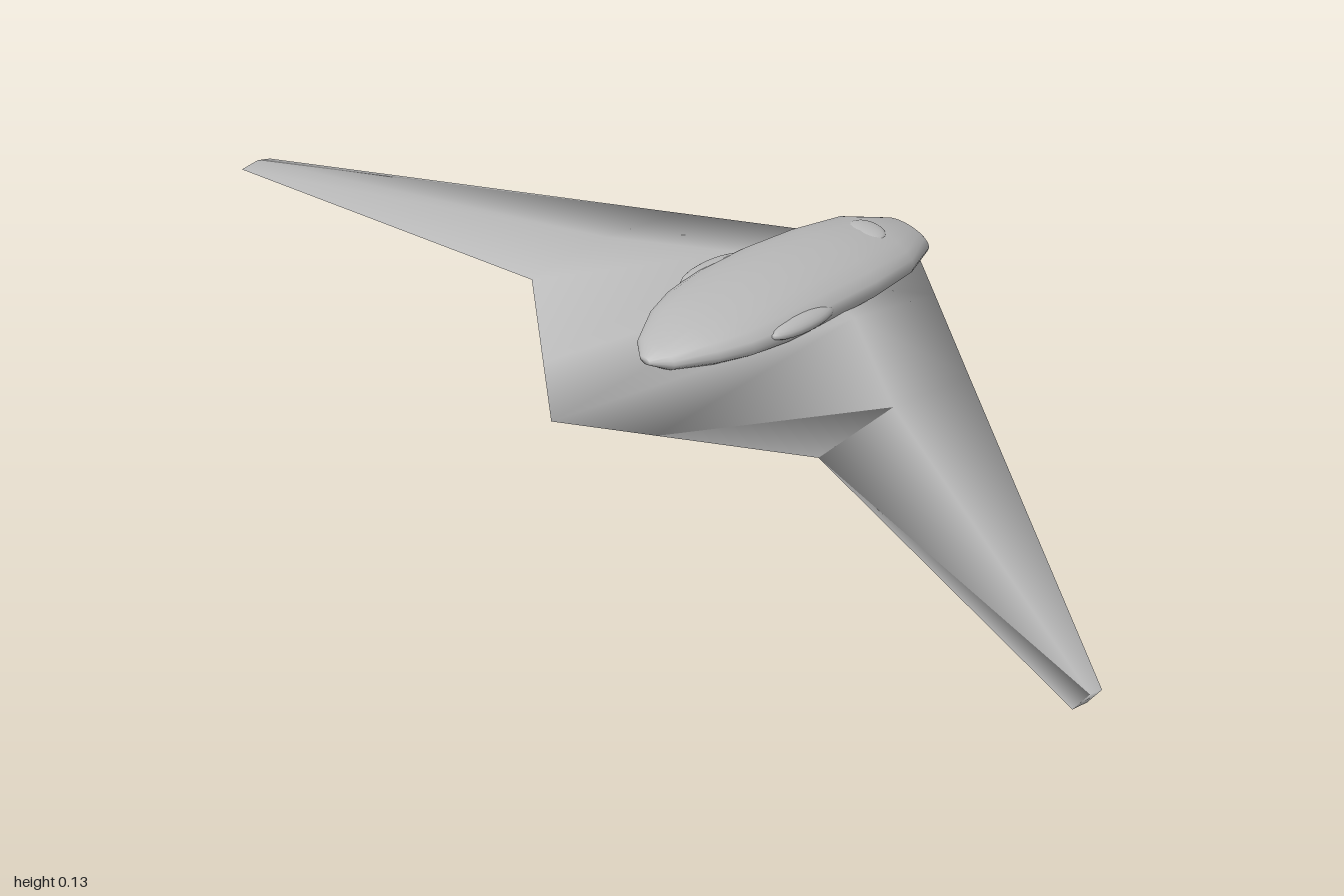
import * as THREE from 'three';

// Skin a run of closed rings (counter-clockwise about the direction of travel), capping both ends
function loft(rings) {
  const n = rings[0].length, last = (rings.length - 1) * n, index = [];
  for (let i = 0; i < rings.length - 1; i++) {
    for (let j = 0; j < n; j++) {
      const a = i * n + j, b = i * n + (j + 1) % n;
      index.push(a, b, a + n, b, b + n, a + n);
    }
  }
  for (let k = 1; k < n - 1; k++) index.push(0, k + 1, k, last, last + k, last + k + 1);
  const g = new THREE.BufferGeometry();
  g.setAttribute('position', new THREE.Float32BufferAttribute(rings.flat(2), 3));
  g.setIndex(index);
  g.computeVertexNormals();
  return g;
}

export function createModel() {
  const model = new THREE.Group();
  const grey = new THREE.MeshStandardMaterial({ color: 0xb8b8b8 });
  grey.name = 'hull grey';

  const add = (name, geometry) => {
    const mesh = new THREE.Mesh(geometry, grey);
    mesh.name = name;
    model.add(mesh);
    return mesh;
  };

  // Flying wing: x, leading z, ridge z, ridge y, trailing z, belly z, belly y
  const half = [
    [0, -0.4, -0.13, 0.08, 0.4, -0.16, 0.003],
    [0.14, -0.309, -0.12, 0.08, 0.304, -0.1, 0.021],
    [0.35, -0.172, 0.0, 0.066, 0.16, 0.0, 0.034],
    [1, 0.25, 0.275, 0.052, 0.31, 0.28, 0.041],
  ];
  const section = (side) => ([x, lead, ridgeZ, ridgeY, trail, bellyZ, bellyY]) => [
    [side * x, 0.046, lead],
    [side * x, ridgeY, ridgeZ],
    [side * x, 0.046, trail],
    [side * x, bellyY, bellyZ],
  ];
  add('wing', loft([...half.slice(1).reverse().map(section(-1)), ...half.map(section(1))]));

  // Central body: z, half width, top y, bottom y
  const body = [
    [-0.4, 0.022, 0.076, 0.062],
    [-0.378, 0.058, 0.097, 0.05],
    [-0.3, 0.098, 0.122, 0.046],
    [-0.2, 0.115, 0.132, 0.044],
    [-0.1, 0.12, 0.137, 0.043],
    [0, 0.12, 0.133, 0.044],
    [0.07, 0.108, 0.125, 0.047],
    [0.125, 0.086, 0.117, 0.05],
    [0.185, 0.046, 0.098, 0.056],
    [0.208, 0.012, 0.08, 0.068],
  ];
  const sides = 20;
  add('body', loft(body.map(([z, w, top, bottom]) =>
    Array.from({ length: sides }, (_, i) => {
      const t = (i / sides) * Math.PI * 2;
      return [w * Math.cos(t), (top + bottom) / 2 + ((top - bottom) / 2) * Math.sin(t), z];
    }))));

  // Smooth blisters: engine pods on the flanks and fairings above and below
  const blister = (name, radii, at) => {
    const mesh = add(name, new THREE.SphereGeometry(1, 20, 12));
    mesh.scale.set(...radii);
    mesh.position.set(...at);
  };
  blister('leftEnginePod', [0.024, 0.015, 0.07], [0.107, 0.095, -0.033]);
  blister('rightEnginePod', [0.024, 0.015, 0.07], [-0.107, 0.095, -0.033]);
  blister('topFairing', [0.038, 0.008, 0.025], [0, 0.119, -0.285]);
  blister('noseFairing', [0.06, 0.012, 0.045], [0, 0.034, -0.29]);
  blister('bellyFairing', [0.045, 0.012, 0.07], [0, 0.022, 0.03]);

  return model;
}
